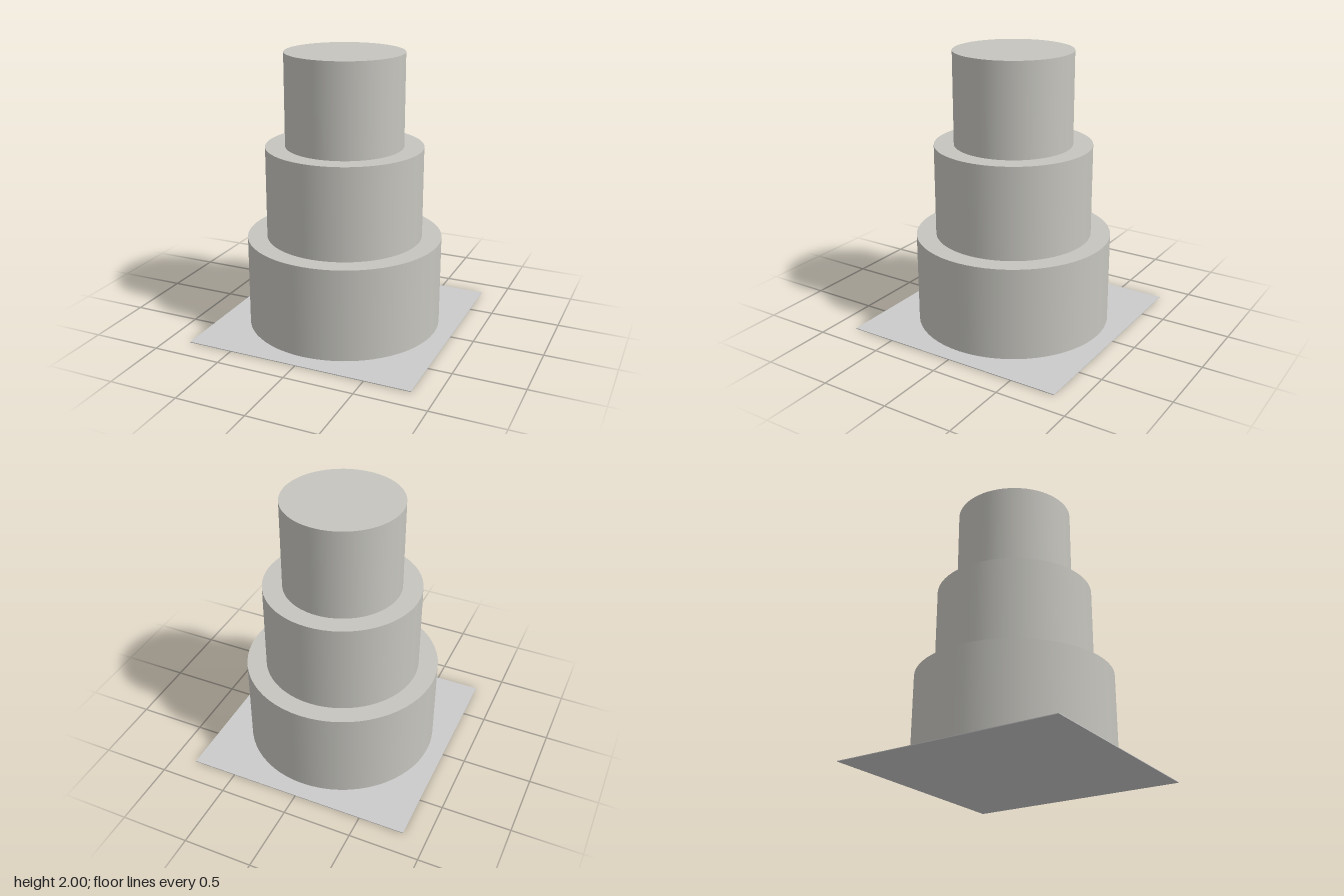
import * as THREE from 'three';

export function createModel() {
  const group = new THREE.Group();
  const boardMaterial = new THREE.MeshStandardMaterial({ color: 0xcccccc });
  const tierMaterial = new THREE.MeshStandardMaterial({ color: 0xc6c5bf });

  // Thin square board under the tiers
  const boardHeight = 0.005;
  const board = new THREE.Mesh(new THREE.BoxGeometry(1.66, boardHeight, 1.66), boardMaterial);
  board.name = 'baseBoard';
  board.position.y = boardHeight / 2;
  group.add(board);

  // Three stacked round tiers of equal height
  const tierHeight = (2 - boardHeight) / 3;
  const tiers = [['bottomTier', 0.704], ['middleTier', 0.563], ['topTier', 0.422]];
  tiers.forEach(([name, radius], i) => {
    const tier = new THREE.Mesh(new THREE.CylinderGeometry(radius, radius, tierHeight, 64), tierMaterial);
    tier.name = name;
    tier.position.y = boardHeight + tierHeight * (i + 0.5);
    group.add(tier);
  });

  return group;
}
